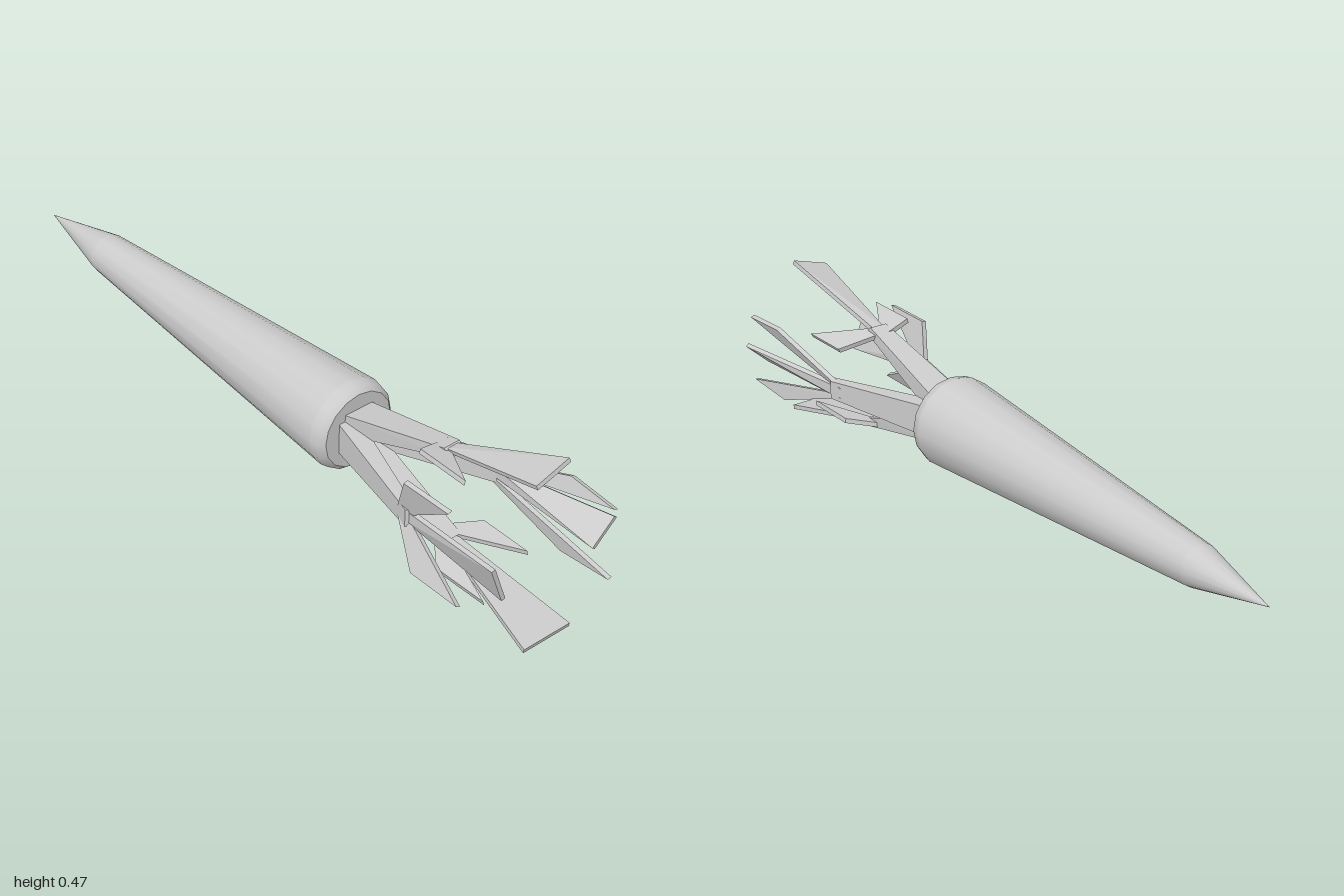
import * as THREE from 'three';
import { ConvexGeometry } from 'three/addons/geometries/ConvexGeometry.js';

const CX = -0.02, CY = 0.214;
const V = (a) => new THREE.Vector3(...a);

export function createModel() {
  const group = new THREE.Group();
  const material = new THREE.MeshStandardMaterial({ color: 0xcccccc });
  const add = (name, geometry, parent = group) => {
    const mesh = new THREE.Mesh(geometry, material);
    mesh.name = name;
    parent.add(mesh);
    return mesh;
  };

  // Thin plate through four corners, thickened along its normal
  const plate = (corners, t) => {
    const p = corners.map(V);
    const n = p[2].clone().sub(p[0]).cross(p[3].clone().sub(p[1])).normalize().multiplyScalar(t / 2);
    return new ConvexGeometry(p.flatMap((q) => [q.clone().add(n), q.clone().sub(n)]));
  };

  // Root: smooth tapering body, its sections turned separately to keep the edges crisp
  const root = new THREE.Group();
  root.name = 'root';
  root.position.set(CX, CY, 0);
  group.add(root);
  const sections = [
    ['tip', [[0, -1], [0.056, -0.75]]],
    ['body', [[0.056, -0.75], [0.125, 0.24]]],
    ['shoulder', [[0.125, 0.24], [0.12, 0.265], [0.106, 0.28]]],
    ['crown', [[0.106, 0.28], [0, 0.28]]],
  ];
  for (const [name, profile] of sections) {
    const g = new THREE.LatheGeometry(profile.map(([r, z]) => new THREE.Vector2(r, z)), 16);
    g.rotateX(Math.PI / 2);
    add(name, g, root);
  }

  // Stems: direction, reach of the joint, end edge of the fan leaf, end edges of the two side leaves
  const stems = [
    { name: 'top', d: [0, 1], reach: 0.135,
      fan: [[-0.05, 0.435, 0.92], [0.053, 0.465, 0.92]],
      sides: [[[-0.1, 0.367, 0.585], [-0.1, 0.365, 0.74]], [[0.08, 0.3, 0.65], [0.08, 0.298, 0.79]]] },
    { name: 'bottom', d: [0, -1], reach: 0.13,
      fan: [[-0.11, 0.01, 0.97], [0.04, 0.008, 0.97]],
      sides: [[[-0.11, 0.063, 0.67], [-0.108, 0.063, 0.83]], [[0.073, 0.095, 0.64], [0.073, 0.094, 0.79]]] },
    { name: 'left', d: [1, 0], reach: 0.142,
      fan: [[0.193, 0.243, 0.95], [0.125, 0.182, 0.95]],
      sides: [[[0.155, 0.318, 0.84], [0.152, 0.308, 0.985]], [[0.138, 0.102, 0.84], [0.14, 0.112, 0.995]]] },
    { name: 'right', d: [-1, 0], reach: 0.13,
      fan: [[-0.18, 0.265, 0.925], [-0.142, 0.158, 0.925]],
      sides: [[[-0.175, 0.335, 0.62], [-0.173, 0.335, 0.77]], [[-0.192, 0.1, 0.67], [-0.192, 0.1, 0.83]]] },
  ];

  for (const { name, d, reach, fan, sides } of stems) {
    const part = new THREE.Group();
    part.name = name + 'Stalk';
    group.add(part);

    // o = distance outward from the axis, s = sideways offset (towards +x or +y)
    const at = (o, s, z) => [
      CX + d[0] * o + Math.abs(d[1]) * s,
      CY + d[1] * o + Math.abs(d[0]) * s,
      z,
    ];

    // Stem: tapering bar leaning outward
    const bar = [];
    for (const s of [-1, 1]) {
      bar.push(at(0, s * 0.044, 0.27), at(0.06, s * 0.044, 0.27));
      bar.push(at(reach - 0.006, s * 0.025, 0.63), at(reach + 0.014, s * 0.025, 0.61));
    }
    add(name + 'Stem', new ConvexGeometry(bar.map(V)), part);

    // Fan leaf: widens from the joint to its far edge
    const first = d[0] ? 1 : -1;
    add(name + 'FanLeaf', plate([
      at(reach, first * 0.015, 0.6), fan[0], fan[1], at(reach, -first * 0.015, 0.6),
    ], 0.012), part);

    // Side leaves: widen outward from the flanks of the joint
    sides.forEach((edge, i) => {
      const s = (i ? -first : first) * 0.015;
      add(name + 'SideLeaf', plate([
        at(reach, s, 0.575), edge[0], edge[1], at(reach, s, 0.625),
      ], 0.013), part);
    });
  }
  return group;
}
